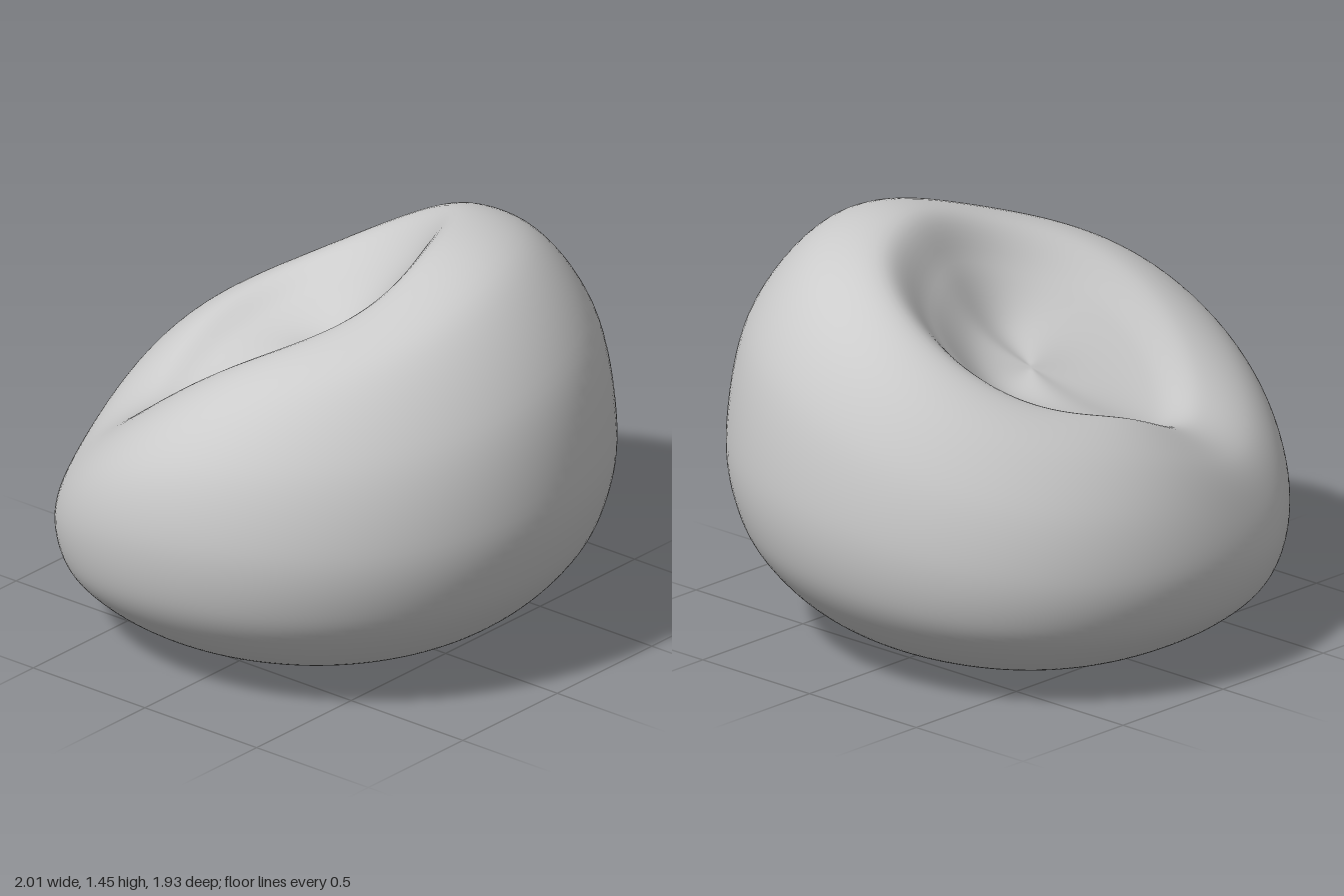
import * as THREE from 'three';

// Upper half of eight meridians, every 45 degrees from +x towards +z.
// Radius, height pairs: bowl floor, bowl wall, crest, shoulder, upper side, widest point.
const MERIDIANS = [
  [0.22, 0.97, 0.43, 1.14, 0.61, 1.28, 0.81, 1.18, 0.95, 0.95, 1.000, 0.65],
  [0.18, 1.06, 0.33, 1.25, 0.49, 1.43, 0.76, 1.37, 0.97, 1.09, 1.040, 0.70],
  [0.18, 1.05, 0.33, 1.25, 0.47, 1.41, 0.75, 1.36, 0.98, 1.06, 1.060, 0.70],
  [0.20, 1.02, 0.38, 1.15, 0.54, 1.28, 0.79, 1.21, 0.98, 0.96, 1.050, 0.66],
  [0.22, 0.95, 0.43, 0.99, 0.62, 1.06, 0.81, 0.99, 0.95, 0.83, 1.000, 0.61],
  [0.22, 0.86, 0.42, 0.79, 0.58, 0.77, 0.74, 0.68, 0.84, 0.54, 0.880, 0.39],
  [0.20, 0.88, 0.39, 0.85, 0.54, 0.88, 0.70, 0.78, 0.81, 0.61, 0.862, 0.42],
  [0.22, 0.91, 0.43, 0.95, 0.60, 1.02, 0.77, 0.93, 0.90, 0.73, 0.945, 0.50],
];
const AXIS_Z = -0.1;
const TOP = [0, 0.95];
const BASE = [0, 0.042];

// Smooth periodic blend of the eight meridians at any angle
function blend(column, angle) {
  return MERIDIANS.reduce((sum, m, k) => {
    const d = angle - (k * Math.PI) / 4;
    const half = Math.sin(d / 2);
    const weight = Math.abs(half) < 1e-6 ? 1 : (Math.sin(4 * d) * Math.cos(d / 2)) / (8 * half);
    return sum + m[column] * weight;
  }, 0);
}

// Control points of one meridian from the top pole to the base pole
function meridian(angle) {
  const pts = [TOP];
  for (let c = 0; c < 12; c += 2) pts.push([blend(c, angle), blend(c + 1, angle)]);
  const [r, y] = pts[6];
  const s = Math.sin(angle);
  pts.push([r * 0.96, y * 0.62], [r * 0.85, y * 0.36], [r * 0.68, y * 0.16]);
  pts.push([r * 0.47, 0.035 + 0.018 * s], [r * 0.25, 0.022 + 0.02 * s], BASE);
  return pts;
}

function catmull(a, b, c, d, t) {
  return b + 0.5 * t * (c - a + t * (2 * a - 5 * b + 4 * c - d + t * (3 * (b - c) + d - a)));
}

// Closed skin made of rings around the axis, with one vertex at each pole
function skin(segments, steps) {
  const columns = [];
  for (let j = 0; j < segments; j++) {
    const angle = (j / segments) * Math.PI * 2;
    const p = meridian(angle);
    const opposite = meridian(angle + Math.PI);
    const n = p.length;
    // Continue each profile across the poles so they stay smooth
    const q = [[-opposite[1][0], opposite[1][1]], ...p, [-opposite[n - 2][0], opposite[n - 2][1]]];
    const column = [];
    for (let i = 1; i < (n - 1) * steps; i++) {
      const k = Math.floor(i / steps);
      const t = i / steps - k;
      const [r, y] = [0, 1].map((e) => catmull(q[k][e], q[k + 1][e], q[k + 2][e], q[k + 3][e], t));
      column.push([r * Math.cos(angle), y, AXIS_Z + r * Math.sin(angle)]);
    }
    columns.push(column);
  }

  const rings = columns[0].length;
  const positions = [];
  const index = [];
  for (let i = 0; i < rings; i++) for (const column of columns) positions.push(...column[i]);
  const top = rings * segments;
  positions.push(0, TOP[1], AXIS_Z, 0, BASE[1], AXIS_Z);

  for (let j = 0; j < segments; j++) {
    const next = (j + 1) % segments;
    index.push(top, next, j);
    for (let i = 0; i < rings - 1; i++) {
      const a = i * segments + j;
      const b = i * segments + next;
      index.push(a, b, a + segments, b, b + segments, a + segments);
    }
    const last = (rings - 1) * segments;
    index.push(top + 1, last + j, last + next);
  }
  const geometry = new THREE.BufferGeometry();
  geometry.setAttribute('position', new THREE.Float32BufferAttribute(positions, 3));
  geometry.setIndex(index);
  geometry.computeVertexNormals();
  return geometry;
}

export function createModel() {
  const group = new THREE.Group();
  group.name = 'beanBagSeat';
  // Soft bag with a sloping, hollowed seat
  const bag = new THREE.Mesh(skin(128, 8), new THREE.MeshStandardMaterial({ color: 0xcccccc }));
  bag.name = 'bag';
  group.add(bag);
  return group;
}
